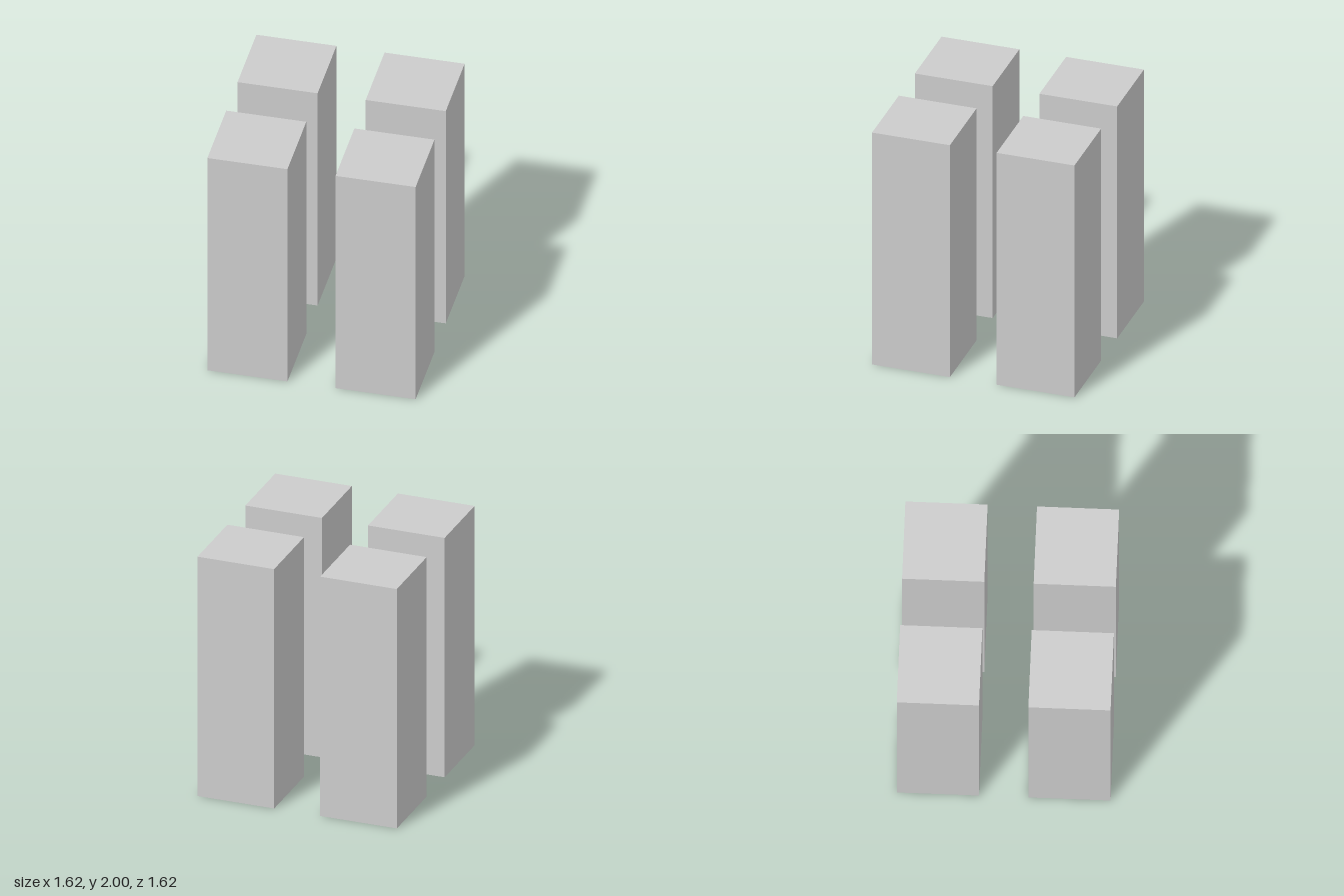
import * as THREE from 'three';

export function createModel() {
  const model = new THREE.Group();
  model.name = 'pillars';

  const width = 0.625, height = 2, offset = 0.5;
  const geometry = new THREE.BoxGeometry(width, height, width);
  const material = new THREE.MeshStandardMaterial({ color: 0xcccccc, flatShading: true });

  // Four identical square pillars, one in each corner
  for (const [side, x] of [['Left', offset], ['Right', -offset]]) {
    for (const [end, z] of [['front', offset], ['back', -offset]]) {
      const pillar = new THREE.Mesh(geometry, material);
      pillar.name = `${end}${side}Pillar`;
      pillar.position.set(x, height / 2, z);
      model.add(pillar);
    }
  }
  return model;
}
